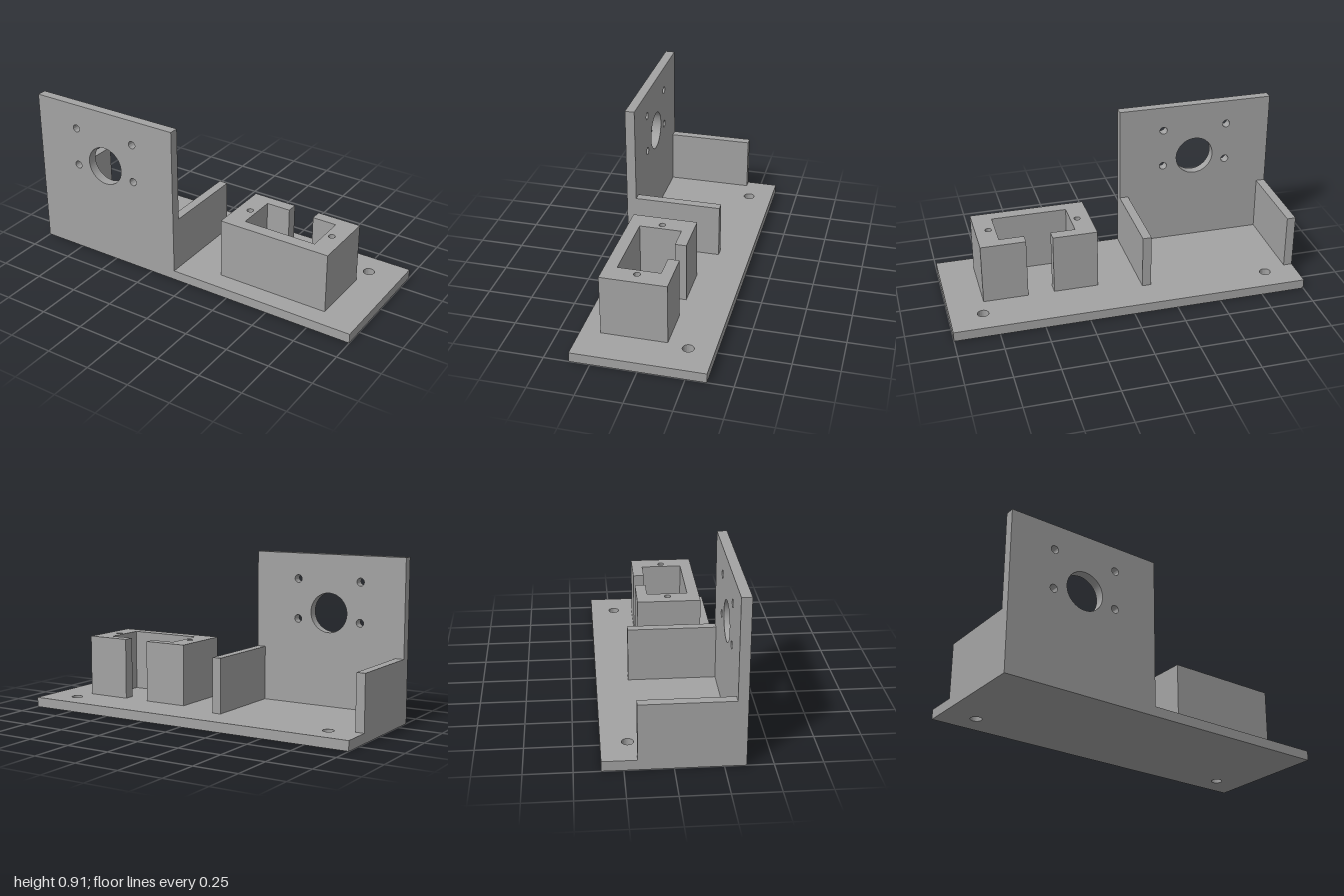
import * as THREE from 'three';
import { toCreasedNormals } from 'three/addons/utils/BufferGeometryUtils.js';

const grey = new THREE.MeshStandardMaterial({ color: 0xa3a3a3 });
grey.name = 'grey plastic';

const BASE_TOP = 0.055;

// Outline polygon with round holes given as [x, y, radius]
function outline(points, holes = []) {
  const shape = new THREE.Shape(points.map(([x, y]) => new THREE.Vector2(x, y)));
  for (const [x, y, r] of holes) {
    const hole = new THREE.Path();
    hole.absarc(x, y, r, 0, Math.PI * 2, true);
    shape.holes.push(hole);
  }
  return shape;
}

const rect = (x0, y0, x1, y1) => [[x0, y0], [x1, y0], [x1, y1], [x0, y1]];

function extrude(shape, depth) {
  return new THREE.ExtrudeGeometry(shape, { depth, bevelEnabled: false, curveSegments: 24 });
}

// Extrude a floor plan (x, -z) upwards from y
function rise(shape, y, height) {
  return extrude(shape, height).rotateX(-Math.PI / 2).translate(0, y, 0);
}

export function createModel() {
  const group = new THREE.Group();
  group.name = 'mountBracket';
  const add = (name, geometry) => {
    const mesh = new THREE.Mesh(toCreasedNormals(geometry, 0.5), grey);
    mesh.name = name;
    group.add(mesh);
  };

  // Base plate with two screw holes near the back edge
  const screwHoles = [-1, 1].map((s) => [s * 0.818, 0.222, 0.031]);
  add('basePlate', rise(outline(rect(-1, -0.362, 1, 0.362), screwHoles), 0, BASE_TOP));

  // Upright motor panel with shaft hole and four bolt holes
  const panelHoles = [[-0.548, 0.584, 0.111]];
  for (const x of [-0.738, -0.357])
    for (const y of [0.54, 0.766]) panelHoles.push([x, y, 0.022]);
  add('motorPanel', extrude(outline(rect(-1, BASE_TOP, -0.095, 0.91), panelHoles), 0.054)
    .translate(0, 0, 0.308));

  // Side walls bracing the panel
  for (const [name, x] of [['rightBrace', -0.975], ['leftBrace', -0.12]]) {
    add(name, new THREE.BoxGeometry(0.05, 0.308, 0.49)
      .translate(x, BASE_TOP + 0.154, 0.063));
  }

  // Pocket block: C-shaped plan, open through a slot at the back, with two pilot holes
  const plan = [
    [0.145, -0.254], [0.797, -0.254], [0.797, 0.109], [0.545, 0.109],
    [0.545, 0.047], [0.684, 0.047], [0.684, -0.187], [0.258, -0.187],
    [0.258, 0.047], [0.397, 0.047], [0.397, 0.109], [0.145, 0.109],
  ];
  const pilotHoles = [0.218, 0.723].map((x) => [x, -0.07, 0.018]);
  add('pocketBlock', rise(outline(plan, pilotHoles), BASE_TOP, 0.346));

  return group;
}
